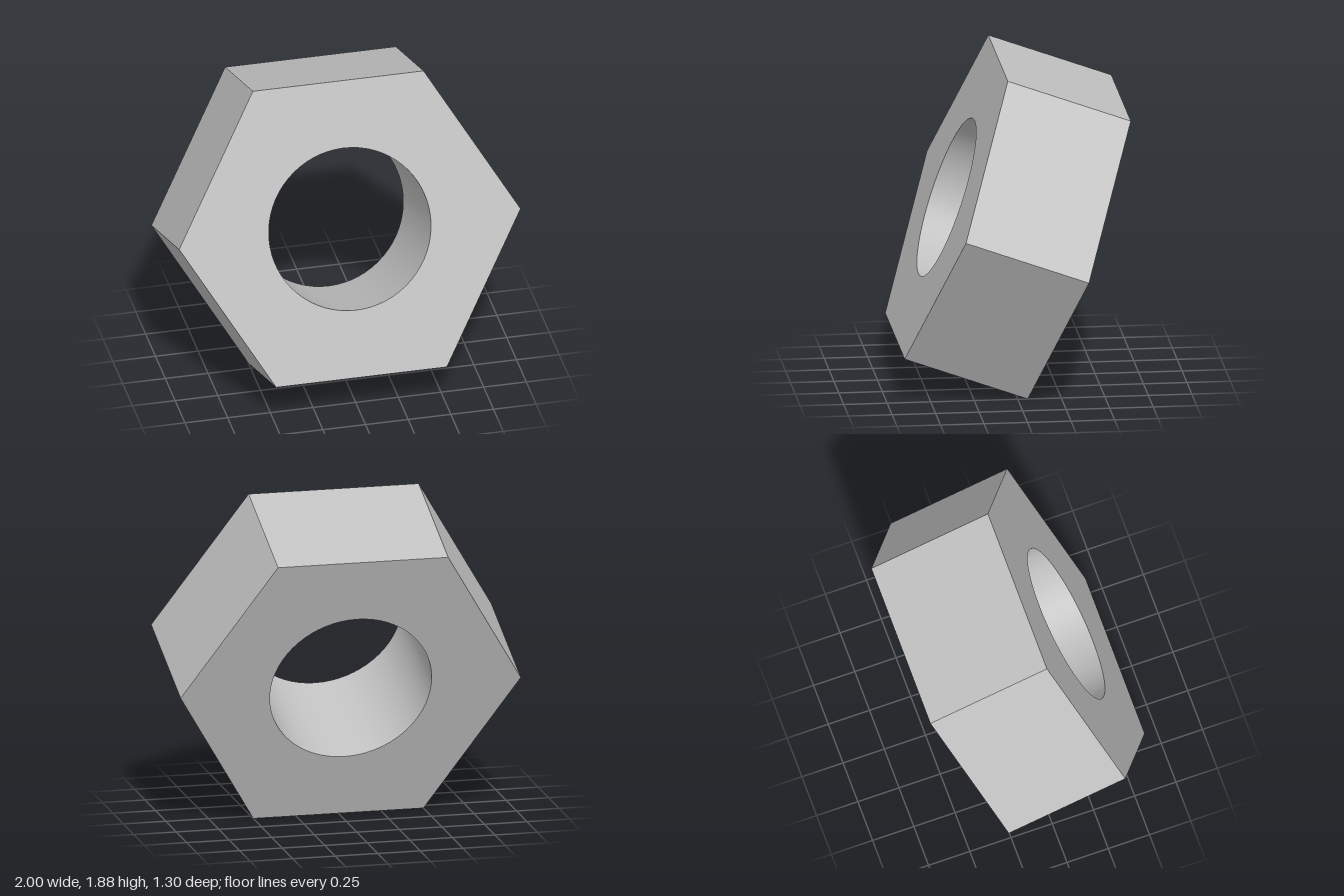
import * as THREE from 'three';
import { toCreasedNormals } from 'three/addons/utils/BufferGeometryUtils.js';

const RADIUS = 1, HOLE = 0.474, DEPTH = 0.752;
const TILT = THREE.MathUtils.degToRad(20);

export function createModel() {
  const steel = new THREE.MeshStandardMaterial({ color: 0xc0c0c0 });
  steel.name = 'steel grey';

  // Hexagon outline with corners on the left and right, and a round bore
  const outline = new THREE.Shape();
  for (let i = 0; i < 6; i++) {
    const a = (i * Math.PI) / 3;
    const x = RADIUS * Math.cos(a), y = RADIUS * Math.sin(a);
    if (i === 0) outline.moveTo(x, y);
    else outline.lineTo(x, y);
  }
  outline.closePath();
  outline.holes.push(new THREE.Path().absarc(0, 0, HOLE, 0, Math.PI * 2, true));

  // Sharp outer edges, smooth bore
  const geometry = new THREE.ExtrudeGeometry(outline, {
    depth: DEPTH, bevelEnabled: false, curveSegments: 32,
  });
  geometry.translate(0, 0, -DEPTH / 2);

  // Nut leans back, resting on its lower rear edge
  const nut = new THREE.Mesh(toCreasedNormals(geometry, Math.PI / 6), steel);
  nut.name = 'hexNut';
  nut.rotation.x = -TILT;
  nut.position.y = RADIUS * Math.sin(Math.PI / 3) * Math.cos(TILT) + (DEPTH / 2) * Math.sin(TILT);

  const model = new THREE.Group();
  model.name = 'tiltedNut';
  model.add(nut);
  return model;
}
